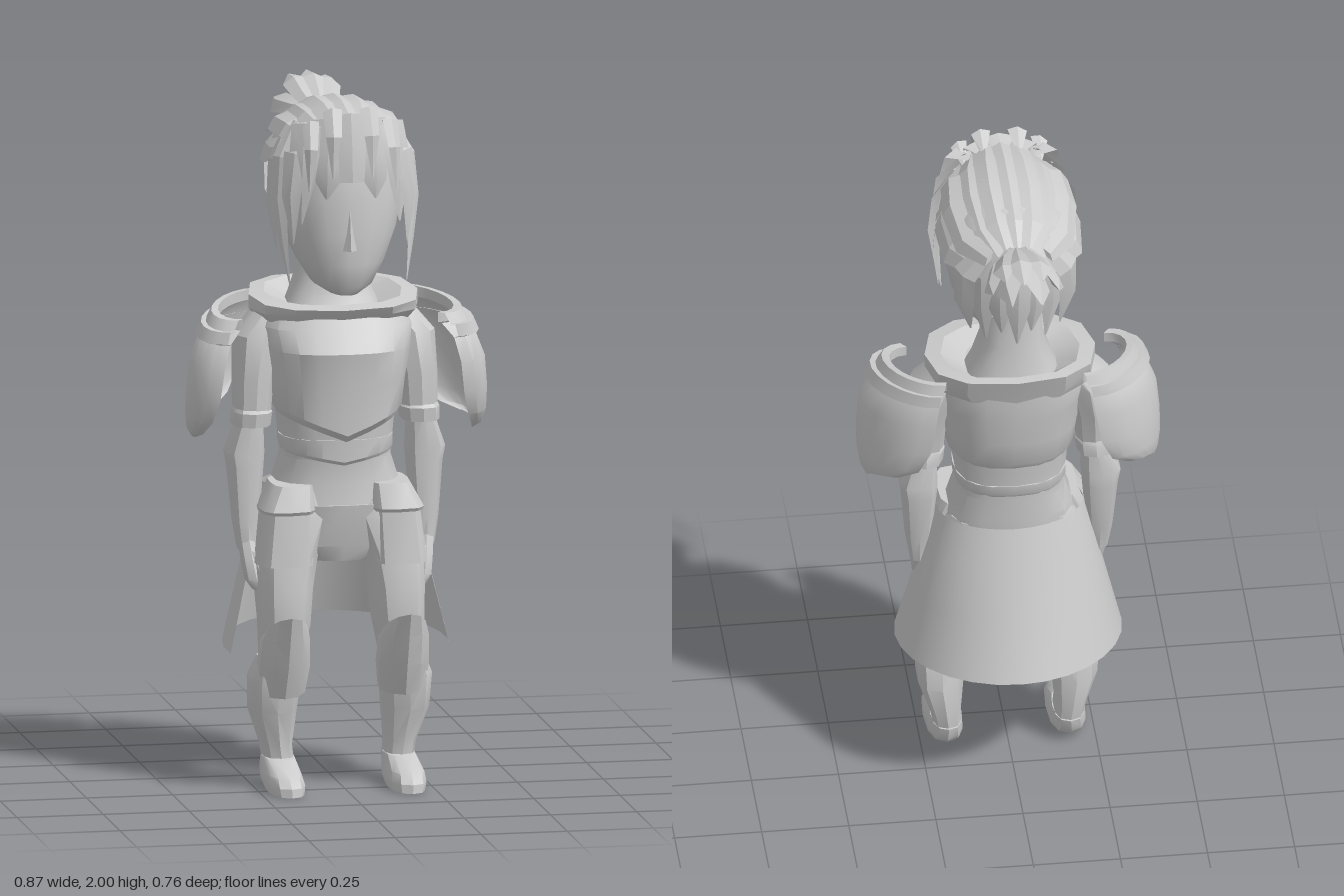
import * as THREE from 'three';
import { toCreasedNormals } from 'three/addons/utils/BufferGeometryUtils.js';

const V = (x, y, z) => new THREE.Vector3(x, y, z);
const gray = new THREE.MeshStandardMaterial({ color: 0xcccccc, side: THREE.DoubleSide });
gray.name = 'light gray';

// Skin between rings of points; ends are closed with fans
function skin(name, rings, { caps = true, closed = true, crease = 0.6 } = {}) {
  const n = rings[0].length, pos = [], idx = [];
  rings.forEach(r => r.forEach(p => pos.push(p.x, p.y, p.z)));
  for (let k = 0; k < rings.length - 1; k++)
    for (let i = 0; i < (closed ? n : n - 1); i++) {
      const a = k * n + i, b = k * n + (i + 1) % n;
      idx.push(a, b, b + n, a, b + n, a + n);
    }
  if (caps) for (const k of [0, rings.length - 1]) {
    const c = V(0, 0, 0);
    rings[k].forEach(p => c.addScaledVector(p, 1 / n));
    const ci = pos.length / 3;
    pos.push(c.x, c.y, c.z);
    for (let i = 0; i < n; i++) {
      const a = k * n + i, b = k * n + (i + 1) % n;
      k === 0 ? idx.push(ci, b, a) : idx.push(ci, a, b);
    }
  }
  const g = new THREE.BufferGeometry();
  g.setAttribute('position', new THREE.Float32BufferAttribute(pos, 3));
  g.setIndex(idx);
  const mesh = new THREE.Mesh(toCreasedNormals(g, crease), gray);
  mesh.name = name;
  return mesh;
}

// Loft of rounded horizontal rings, bottom to top: [y, xMin, xMax, zFront, zBack, tilt]
function loft(name, rows, { n = 14, pow = 0.8, warp, ...opt } = {}) {
  const soft = t => Math.sign(t) * Math.abs(t) ** pow;
  const rings = rows.map(([y, x0, x1, zf, zb, tilt = 0], k) => Array.from({ length: n }, (_, i) => {
    const a = i / n * Math.PI * 2, dz = (zf - zb) / 2 * soft(Math.cos(a));
    const p = V((x0 + x1) / 2 + (x1 - x0) / 2 * soft(Math.sin(a)), y + dz * tilt, (zf + zb) / 2 + dz);
    if (warp) warp(p, k);
    return p;
  }));
  return skin(name, rings, opt);
}
// Same, symmetric in x: [y, halfWidth, zFront, zBack, tilt]
const body = (name, rows, opt) => loft(name, rows.map(([y, w, ...r]) => [y, -w, w, ...r]), opt);

// Lock of hair with a diamond section, along points [x, y, z, halfWidth]
function lock(name, pts, thick = 0.3, centre = V(0, 1.72, 0.1)) {
  const ps = pts.map(p => V(p[0], p[1], p[2]));
  const rings = ps.map((p, i) => {
    const t = ps[Math.min(i + 1, ps.length - 1)].clone().sub(ps[Math.max(i - 1, 0)]).normalize();
    const out = p.clone().sub(centre);
    out.addScaledVector(t, -out.dot(t)).normalize();
    const side = t.clone().cross(out), w = pts[i][3];
    return [[side, w], [out, w * thick], [side, -w], [out, -w * thick]].map(([d, s]) => p.clone().addScaledVector(d, s));
  });
  return skin(name, rings, { crease: 0.3 });
}

function createLimbs() {
  const g = new THREE.Group();
  // Arm
  g.add(loft('upperArm', [[1.06, 0.19, 0.295, 0.17, 0.03], [1.18, 0.18, 0.295, 0.175, 0.01], [1.3, 0.15, 0.29, 0.17, -0.02], [1.37, 0.1, 0.23, 0.14, -0.01]], { n: 10 }));
  g.add(loft('elbowCuff', [[1.04, 0.19, 0.3, 0.175, 0.02], [1.08, 0.185, 0.3, 0.18, 0.02], [1.1, 0.2, 0.29, 0.16, 0.03]], { n: 10 }));
  g.add(loft('forearm', [[0.68, 0.23, 0.285, 0.15, 0.07], [0.76, 0.222, 0.298, 0.15, 0.055], [0.92, 0.208, 0.312, 0.15, 0.03], [0.96, 0.205, 0.32, 0.15, 0.03], [1.06, 0.21, 0.285, 0.15, 0.04]], { n: 10 }));
  g.add(loft('hand', [[0.57, 0.22, 0.25, 0.185, 0.12], [0.6, 0.215, 0.272, 0.19, 0.1], [0.66, 0.225, 0.28, 0.17, 0.08], [0.71, 0.23, 0.285, 0.15, 0.07]], { n: 8 }));
  g.add(loft('thumb', [[0.58, 0.205, 0.23, 0.21, 0.185], [0.63, 0.21, 0.24, 0.21, 0.175], [0.68, 0.225, 0.255, 0.17, 0.13]], { n: 6 }));

  // Pauldron shell, swung forward: [y, outer x, edge x, half depth, z centre], and its top bands
  const shell = (name, rows) => g.add(skin(name, rows.map(([y, xo, xe, d, zc]) =>
    Array.from({ length: 11 }, (_, i) => {
      const a = (i / 10 - 0.5) * Math.PI, s = Math.sin(a);
      return V(xe + (xo - xe) * Math.cos(a) - s * 0.36 * d, y + 0.02 * s, zc - d * s);
    }).reverse()), { caps: false, closed: false }));
  shell('pauldron', [[1.35, 0.345, 0.245, 0.13, 0.064], [1.31, 0.388, 0.272, 0.147, 0.066], [1.24, 0.415, 0.287, 0.156, 0.068],
    [1.15, 0.424, 0.3, 0.15, 0.063], [1.08, 0.425, 0.325, 0.128, 0.055], [1.04, 0.42, 0.36, 0.085, 0.05], [1.022, 0.41, 0.39, 0.03, 0.045]]);
  shell('pauldronUpperBand', [[1.35, 0.33, 0.24, 0.12, 0.062], [1.38, 0.33, 0.24, 0.12, 0.062], [1.38, 0.35, 0.25, 0.137, 0.064], [1.345, 0.368, 0.262, 0.148, 0.065]]);
  shell('pauldronLowerBand', [[1.35, 0.36, 0.26, 0.143, 0.064], [1.35, 0.38, 0.27, 0.155, 0.067], [1.315, 0.396, 0.278, 0.157, 0.067], [1.31, 0.383, 0.272, 0.147, 0.066]]);

  // Leg
  g.add(loft('thigh', [[0.36, 0.115, 0.235, 0.265, 0.1], [0.48, 0.09, 0.24, 0.285, 0.085], [0.58, 0.08, 0.245, 0.28, 0.05], [0.68, 0.06, 0.245, 0.268, 0.01], [0.78, 0.02, 0.225, 0.255, -0.02], [0.86, 0.01, 0.18, 0.23, -0.02]], { n: 12 }));
  g.add(loft('kneeGuard', [[0.28, 0.105, 0.245, 0.26, 0.13, -0.2], [0.36, 0.095, 0.25, 0.3, 0.14], [0.44, 0.1, 0.245, 0.33, 0.15, 0.1], [0.475, 0.115, 0.23, 0.355, 0.18, 0.5]], { n: 10, pow: 1.1 }));
  g.add(loft('shin', [[0.06, 0.13, 0.215, 0.21, 0.07], [0.12, 0.135, 0.225, 0.21, 0.06], [0.22, 0.125, 0.26, 0.24, 0.06], [0.32, 0.115, 0.265, 0.26, 0.08], [0.38, 0.12, 0.24, 0.26, 0.1]], { n: 10 }));
  g.add(loft('foot', [[0, 0.125, 0.225, 0.37, 0.125], [0.025, 0.12, 0.232, 0.368, 0.085], [0.05, 0.125, 0.23, 0.34, 0.065], [0.085, 0.13, 0.22, 0.235, 0.06]], { n: 12 }));

  // Hip plates
  g.add(loft('hipPouch', [[0.8, 0.08, 0.235, 0.272, 0.06], [0.81, 0.077, 0.238, 0.278, 0.06], [0.88, 0.08, 0.2, 0.25, 0.06]], { n: 12, pow: 0.6 }));
  g.add(loft('thighPlate', [[0.65, 0.083, 0.248, 0.278, 0.08], [0.8, 0.08, 0.23, 0.264, 0.06]], { n: 12, pow: 0.65 }));

  // Side hair
  g.add(lock('templeLock', [[0.14, 1.94, 0.23, 0.008], [0.185, 1.84, 0.255, 0.032], [0.195, 1.72, 0.27, 0.03], [0.185, 1.6, 0.285, 0.016], [0.17, 1.48, 0.3, 0.002]], 0.25));
  g.add(lock('frontSideLock', [[0.1, 1.95, 0.29, 0.01], [0.155, 1.86, 0.32, 0.04], [0.172, 1.74, 0.335, 0.03], [0.165, 1.6, 0.33, 0.002]], 0.25));
  g.add(lock('earLock', [[0.15, 1.92, 0.16, 0.008], [0.19, 1.82, 0.18, 0.034], [0.2, 1.7, 0.185, 0.028], [0.19, 1.56, 0.2, 0.002]], 0.25));
  g.add(lock('sideBand', [[0.165, 1.86, 0.24, 0.02], [0.185, 1.84, 0.12, 0.045], [0.175, 1.83, 0, 0.05], [0.11, 1.83, -0.1, 0.03]], 0.2));
  return g;
}

export function createModel() {
  const model = new THREE.Group();
  model.name = 'armouredFigure';

  // Torso and hips
  model.add(body('torso', [[0.8, 0.19, 0.245, -0.035], [0.88, 0.18, 0.235, -0.045], [0.95, 0.157, 0.235, -0.042], [1.05, 0.165, 0.255, -0.055], [1.15, 0.18, 0.25, -0.06]]));
  model.add(body('pelvis', [[0.655, 0.09, 0.22, 0.03], [0.7, 0.15, 0.235, 0], [0.82, 0.2, 0.25, -0.025]], { pow: 0.7 }));
  const vee = d => (p, k) => { if (k < 2 && p.z > 0.1) p.y -= d * Math.max(0, 1 - Math.abs(p.x) / 0.18); };
  model.add(body('breastplate', [[1.08, 0.17, 0.275, -0.058], [1.1, 0.185, 0.295, -0.07], [1.18, 0.195, 0.3, -0.085], [1.27, 0.21, 0.312, -0.095], [1.33, 0.22, 0.27, -0.1], [1.38, 0.2, 0.23, -0.1]], { n: 20, warp: vee(0.07) }));
  model.add(body('belt', [[0.97, 0.158, 0.24, -0.044], [0.98, 0.162, 0.248, -0.05], [1.01, 0.163, 0.25, -0.052]], { n: 20, warp: vee(0.035) }));
  model.add(body('collar', [[1.34, 0.22, 0.23, -0.1], [1.37, 0.245, 0.255, -0.11, 0], [1.41, 0.245, 0.27, -0.13, -0.1], [1.415, 0.2, 0.225, -0.1, -0.1], [1.375, 0.12, 0.16, -0.06]], { n: 12, caps: false, crease: 0.4 }));
  model.add(body('neck', [[1.34, 0.15, 0.18, -0.08], [1.41, 0.12, 0.13, -0.065], [1.5, 0.09, 0.12, -0.055], [1.6, 0.085, 0.12, -0.05]]));

  // Back skirt, open at the front: [y, half width, z centre, depth to the back, tilt]
  const skirt = [[0.43, 0.31, 0.1, 0.315, 0.02], [0.6, 0.275, 0.09, 0.243, 0.01], [0.75, 0.243, 0.085, 0.19, 0], [0.87, 0.21, 0.08, 0.145, 0]];
  model.add(skin('backSkirt', skirt.map(([y, w, zc, d, tilt]) => Array.from({ length: 17 }, (_, i) => {
    const a = (i / 16 - 0.5) * Math.PI * 1.17, back = Math.cos(a);
    return V(-w * Math.sin(a) * (1 + 2.5 * tilt * (1 - back)), y - tilt * (1 - back) * 1.6, zc - d * back);
  })), { caps: false, closed: false }));

  // Head
  model.add(body('head', [[1.44, 0.045, 0.3, 0.08], [1.465, 0.085, 0.318, 0.06], [1.53, 0.125, 0.328, 0.02], [1.62, 0.165, 0.33, -0.05], [1.72, 0.185, 0.325, -0.1],
    [1.85, 0.178, 0.31, -0.12], [1.92, 0.15, 0.28, -0.1], [1.96, 0.08, 0.22, -0.02]], { n: 18, pow: 0.9, crease: 0.9 }));
  const nose = new THREE.Mesh(new THREE.ConeGeometry(0.02, 0.12, 4).toNonIndexed(), gray);
  nose.name = 'nose';
  nose.position.set(0, 1.635, 0.326);
  nose.geometry.computeVertexNormals();
  model.add(nose);

  // Crown strips running front to back, and fringe
  for (let i = -3; i <= 3; i++) {
    const x = i * 0.047, r = Math.abs(i) / 3, top = 1.975 - 0.06 * r * r, w = 0.034 + 0.006 * (i & 1);
    model.add(lock('crownStrip', [[x * 0.85, top - 0.02, 0.32 - 0.04 * r, w], [x * 1.08, top + 0.003, 0.2, w], [x * 1.15, top, 0.08, w], [x, top - 0.03, -0.05, w], [x * 0.6, 1.89, -0.145, w * 0.6]], 0.35));
  }
  for (let i = -2; i <= 2; i++) {
    const x = i * 0.062, r = Math.abs(i) / 2, tip = [1.79, 1.73, 1.66][Math.abs(i)];
    model.add(lock('fringeLock', [[x * 0.7, 1.96 - 0.02 * r, 0.27, 0.012], [x, 1.97 - 0.03 * r, 0.33 - 0.02 * r, 0.045], [x * 1.08, 1.86, 0.355 - 0.02 * r, 0.045], [x * 1.12, 1.78, 0.36 - 0.02 * r, 0.035], [x * 1.15, tip, 0.352 - 0.015 * r, 0.003]], 0.25));
  }
  // Upswept tufts over the forehead
  for (const [x, y, w] of [[-0.11, 1.95, 0.025], [-0.05, 1.985, 0.028], [0.05, 1.985, 0.028], [0.11, 1.95, 0.025]])
    model.add(lock('foreheadTuft', [[x, y - 0.03, 0.26, 0.005], [x * 1.05, y, 0.335, w], [x * 1.1, y - 0.07, 0.37, w * 0.8], [x * 1.15, y - 0.19, 0.375, 0.003]], 0.4));
  // Hair over the back of the head
  for (let i = -3; i <= 3; i++) {
    const x = i * 0.045, r = Math.abs(i) / 3;
    model.add(lock('backLock', [[x * 0.6, 1.9, -0.13 + 0.03 * r, 0.025], [x * 1.1, 1.8, -0.14 + 0.05 * r, 0.038], [x * 1.1, 1.69, -0.135 + 0.06 * r, 0.034], [x * 0.95, 1.56 + 0.03 * (i & 1), -0.11 + 0.05 * r, 0.003]]));
  }
  // Tied tail, fanned out behind in two layers
  for (const [x, y, z, w] of [[-0.095, 1.9, -0.33, 0.036], [-0.04, 1.885, -0.375, 0.042], [0.012, 1.965, -0.385, 0.042], [0.045, 1.885, -0.375, 0.042], [0.095, 1.9, -0.33, 0.036], [-0.045, 1.96, -0.36, 0.036], [0.06, 1.955, -0.35, 0.036]])
    model.add(lock('tailLock', [[x * 0.3, 1.9, -0.12, 0.016], [x * 0.75, (y + 1.9) / 2, -0.2, w * 0.8], [x * 0.95, y - 0.005, -0.28, w], [x, y, z, 0.003]], 0.4, V(0, 1.82, -0.25)));

  // Limbs and side hair, mirrored
  const left = createLimbs(), right = left.clone();
  left.name = 'leftSide';
  right.name = 'rightSide';
  right.scale.x = -1;
  model.add(left, right);
  return model;
}
